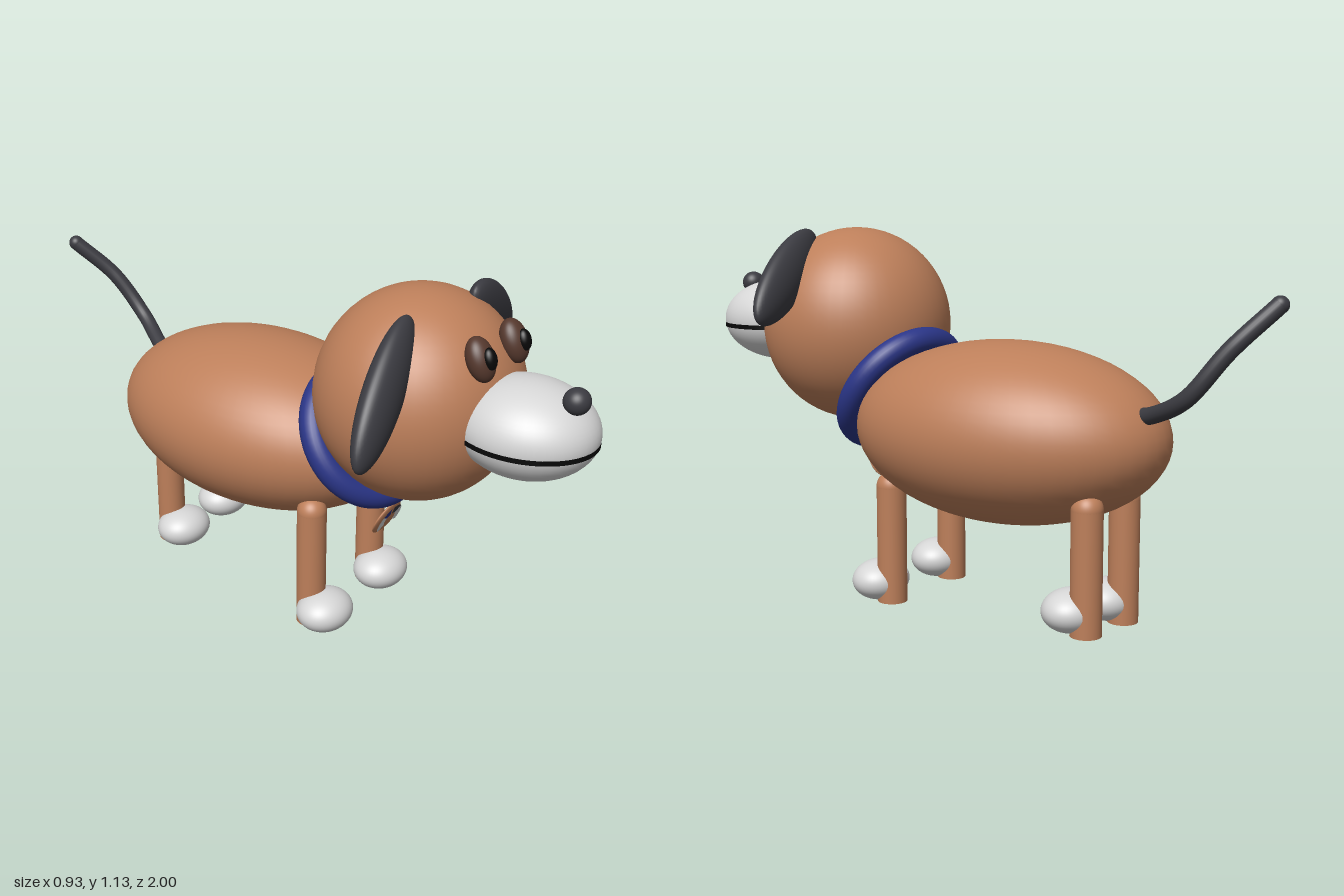
import * as THREE from 'three';

const mat = (name, color, side = THREE.FrontSide) => {
  const m = new THREE.MeshStandardMaterial({ color, side });
  m.name = name;
  return m;
};

export function createModel() {
  const brown = mat('brown fur', 0xbd7f5a);
  const pale = mat('pale grey', 0xd6d6d6);
  const dark = mat('charcoal', 0x3b3b41);
  const blue = mat('collar blue', 0x2a3587);
  const eyeBrown = mat('eye brown', 0x55382d);
  const black = mat('black', 0x080808);

  const dog = new THREE.Group();
  dog.name = 'dog';

  const add = (name, geometry, material, pos = [0, 0, 0], parent = dog) => {
    const mesh = new THREE.Mesh(geometry, material);
    mesh.name = name;
    mesh.position.set(...pos);
    parent.add(mesh);
    return mesh;
  };
  const ball = new THREE.SphereGeometry(1, 48, 32);
  const ellipsoid = (name, material, pos, radii, parent = dog) => {
    const mesh = add(name, ball, material, pos, parent);
    mesh.scale.set(...radii);
    return mesh;
  };

  // Body and head
  ellipsoid('body', brown, [0.082, 0.548, -0.16], [0.333, 0.268, 0.503]);
  ellipsoid('head', brown, [0.001, 0.83, 0.463], [0.304, 0.305, 0.294]);

  // Muzzle with a dark mouth line, and nose
  ellipsoid('muzzle', pale, [-0.013, 0.828, 0.8], [0.174, 0.133, 0.2]);
  const mouth = add('mouth', new THREE.CylinderGeometry(1, 1, 1, 64), black, [-0.013, 0.811, 0.8]);
  mouth.scale.set(0.1735, 0.014, 0.1995);
  ellipsoid('nose', dark, [-0.03, 0.945, 0.942], [0.037, 0.036, 0.036]);

  // Eyes lean back with the curve of the head
  for (const [side, x, z, px] of [['right', -0.101, 0.7, -0.106], ['left', 0.065, 0.706, 0.064]]) {
    ellipsoid(side + 'Eye', eyeBrown, [x, 1.02, z], [0.042, 0.062, 0.036]).rotation.x = -0.4;
    ellipsoid(side + 'Pupil', black, [px, 1.03, z + 0.03], [0.02, 0.03, 0.018]).rotation.x = -0.3;
  }

  // Ears: long flat ellipsoids set along a given direction
  const ear = (name, pos, dir, length) => {
    const mesh = ellipsoid(name, dark, pos, [length, 0.08, 0.046]);
    const along = new THREE.Vector3(...dir).normalize();
    const across = new THREE.Vector3(0, 0, 1).cross(along).normalize();
    const flat = along.clone().cross(across);
    mesh.quaternion.setFromRotationMatrix(new THREE.Matrix4().makeBasis(along, across, flat));
  };
  ear('leftEar', [0.28, 0.99, 0.515], [0.18, -0.126, -0.045], 0.222);
  ear('rightEar', [-0.3, 0.952, 0.54], [-0.165, -0.155, 0.035], 0.224);

  // Collar faces up and forward, slightly turned with the head
  const collar = add('collar', new THREE.TorusGeometry(0.19, 0.041, 24, 72), blue, [0.032, 0.636, 0.27]);
  collar.quaternion.setFromUnitVectors(
    new THREE.Vector3(0, 0, 1), new THREE.Vector3(-0.16, 0.56, 0.82).normalize());

  // Collar tag with coloured patches
  const tag = new THREE.Group();
  tag.name = 'collarTag';
  tag.position.set(0.003, 0.395, 0.37);
  tag.rotation.x = 0.42;
  dog.add(tag);
  ellipsoid('tagDisc', brown, [0, 0, 0], [0.063, 0.06, 0.01], tag);
  const patch = (name, material, start, sweep) =>
    add(name, new THREE.RingGeometry(0.024, 0.054, 20, 1, start, sweep), material, [0, 0, 0.0105], tag);
  patch('tagRightPatch', pale, 2.6, 1.3);
  patch('tagLeftPatch', pale, -0.5, 1.3);
  patch('tagTopPatch', dark, 0.8, 0.9);
  patch('tagBluePatch', blue, 1.9, 0.7);

  // Legs: round-topped posts with a paw in front
  const legs = [
    ['frontRight', -0.105, 0.175, 0.44, 0.01, -0.105, 0.068],
    ['frontLeft', 0.212, 0.175, 0.412, 0.01, 0.2, 0.068],
    ['backRight', 0.008, -0.505, 0.42, 0.01, 0.008, 0.07],
    ['backLeft', 0.232, -0.505, 0.43, 0.03, 0.218, 0.091],
  ];
  const r = 0.045;
  for (const [name, x, z, top, bottom, pawX, pawY] of legs) {
    const h = top - r - bottom;
    add(name + 'Leg', new THREE.CylinderGeometry(r, r, h, 32), brown, [x, bottom + h / 2, z]);
    ellipsoid(name + 'LegTop', brown, [x, top - r, z], [r, r, r]);
    ellipsoid(name + 'Paw', pale, [pawX, pawY, z + 0.053], [0.095, 0.062, 0.083]);
  }

  // Tail: a curved tube with a rounded tip
  const tip = [0.092, 0.95, -0.975];
  const path = new THREE.CatmullRomCurve3([
    [0.11, 0.63, -0.58], [0.14, 0.645, -0.65], [0.193, 0.705, -0.77], [0.168, 0.835, -0.875], tip,
  ].map((p) => new THREE.Vector3(...p)));
  add('tail', new THREE.TubeGeometry(path, 48, 0.024, 20), dark);
  ellipsoid('tailTip', dark, tip, [0.024, 0.024, 0.024]);

  return dog;
}
